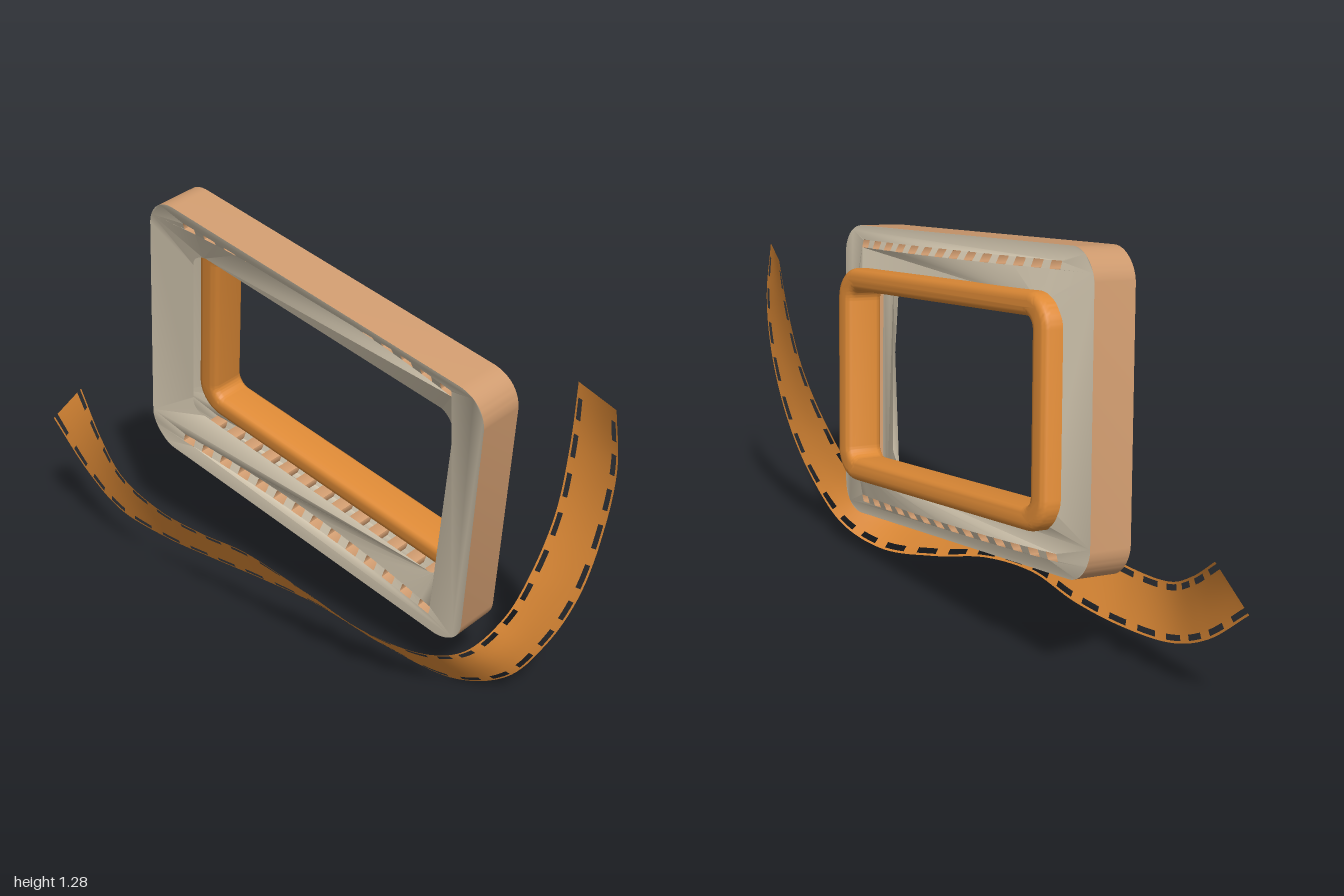
import * as THREE from 'three';
import { mergeGeometries, toCreasedNormals } from 'three/addons/utils/BufferGeometryUtils.js';

const HALF_W = 0.665, HALF_H = 0.462;

const material = (name, color) =>
  new THREE.MeshStandardMaterial({ name, color, side: THREE.DoubleSide });

// Rounded rectangle from half sizes, centred on (cx, cy)
function roundedRect(Type, w, h, r, cx = 0, cy = 0) {
  const s = new Type();
  s.absarc(cx + w - r, cy + h - r, r, 0, Math.PI / 2);
  s.absarc(cx - w + r, cy + h - r, r, Math.PI / 2, Math.PI);
  s.absarc(cx - w + r, cy - h + r, r, Math.PI, Math.PI * 1.5);
  s.absarc(cx + w - r, cy - h + r, r, Math.PI * 1.5, Math.PI * 2);
  s.closePath();
  return s;
}

// Push points backwards, most in the middle and not at all along the rim
function bow(geometry) {
  const p = geometry.attributes.position;
  for (let i = 0; i < p.count; i++) {
    const u = p.getX(i) / HALF_W, v = p.getY(i) / HALF_H;
    p.setZ(i, p.getZ(i) - 0.18 * (1 - u * u) * (1 - v * v));
  }
  return geometry;
}

// Open wall following a closed outline, from z = -d to z = d
function wall(outline, d, divisions) {
  const pts = outline.getPoints(divisions), pos = [];
  pts.forEach((a, i) => {
    const b = pts[(i + 1) % pts.length];
    if (a.distanceTo(b) < 1e-5) return;
    pos.push(a.x, a.y, -d, b.x, b.y, -d, b.x, b.y, d, a.x, a.y, -d, b.x, b.y, d, a.x, a.y, d);
  });
  const g = new THREE.BufferGeometry();
  g.setAttribute('position', new THREE.Float32BufferAttribute(pos, 3));
  return bow(toCreasedNormals(g, 0.6));
}

// Twisting strip between two edge curves, with a row of slots along each edge
function filmGeometry(lowerPts, upperPts, slots) {
  const curve = (p) => new THREE.CatmullRomCurve3(p.map((q) => new THREE.Vector3(...q)));
  const lower = curve(lowerPts), upper = curve(upperPts);
  const rows = [0, 0.04, 0.14, 0.33, 0.5, 0.67, 0.86, 0.96, 1];
  const steps = slots * 5, pos = [], index = [];
  for (let i = 0; i <= steps; i++) {
    const a = lower.getPoint(i / steps), b = upper.getPoint(i / steps);
    for (const v of rows) pos.push(...a.clone().lerp(b, v).toArray());
  }
  const n = rows.length;
  for (let i = 0; i < steps; i++) {
    for (let j = 0; j < n - 1; j++) {
      const slot = (j === 1 || j === n - 3) && i % 5 < 3;
      if (slot) continue;
      const p = i * n + j, q = p + n;
      index.push(p, q, q + 1, p, q + 1, p + 1);
    }
  }
  const g = new THREE.BufferGeometry();
  g.setAttribute('position', new THREE.Float32BufferAttribute(pos, 3));
  g.setIndex(index);
  g.computeVertexNormals();
  return g;
}

export function createModel() {
  const orange = material('orange', 0xde8a36);
  const tan = material('tan', 0xce9a6e);
  const beige = material('beige', 0xd1c5ae);
  const model = new THREE.Group();
  const add = (parent, name, geometry, mat) => {
    const m = new THREE.Mesh(geometry, mat);
    m.name = name;
    parent.add(m);
    return m;
  };

  // Leaning hollow frame
  const frame = new THREE.Group();
  frame.name = 'frame';
  const R = new THREE.Vector3(0.919, -0.18, 0.354).normalize();
  const N = R.clone().cross(new THREE.Vector3(0.132, 0.971, 0.194)).normalize();
  const U = N.clone().cross(R);
  frame.quaternion.setFromRotationMatrix(new THREE.Matrix4().makeBasis(R, U, N));
  frame.position.set(0.055, 0.722, 0.004);
  model.add(frame);

  const depth = 0.07;
  const outline = roundedRect(THREE.Shape, HALF_W, HALF_H, 0.1);
  add(frame, 'frameRim', wall(outline, depth, 10), tan);

  // Small slots in rows along the top and bottom
  const slots = [];
  for (const y of [-0.407, 0.407])
    for (let i = 0; i < 14; i++)
      slots.push(roundedRect(THREE.Path, 0.022, 0.012, 0.003, (i - 6.5) * 0.0785, y));
  add(frame, 'slotWalls', mergeGeometries(slots.map((s) => wall(s, depth, 1))), tan);

  // Bowed front and back plates with the window and slots cut out
  outline.holes = [roundedRect(THREE.Path, 0.525, 0.303, 0.05), ...slots];
  const plate = bow(new THREE.ShapeGeometry(outline, 10));
  plate.computeVertexNormals();
  for (const [name, z] of [['frontPlate', depth], ['backPlate', -depth]])
    add(frame, name, plate, beige).position.z = z;

  // Rounded window ring standing out at the back
  const bevel = 0.025, ringFront = -0.035, ringBack = -0.16;
  const ringShape = roundedRect(THREE.Shape, 0.57 - bevel, 0.335 - bevel, 0.075);
  ringShape.holes = [roundedRect(THREE.Path, 0.492 + bevel, 0.265 + bevel, 0.06)];
  const ring = new THREE.ExtrudeGeometry(ringShape, {
    depth: ringFront - ringBack - 2 * bevel,
    bevelSize: bevel, bevelThickness: bevel, bevelSegments: 5, curveSegments: 10,
  });
  add(frame, 'windowRing', toCreasedNormals(ring, 0.7), orange).position.z = ringBack + bevel;

  // Film strip sweeping below and up the side
  const lower = [
    [-1, 0.37, -0.24], [-0.85, 0.23, -0.185], [-0.7, 0.15, -0.125], [-0.5, 0.12, -0.065],
    [-0.3, 0.12, -0.005], [-0.1, 0.135, 0.07], [0.1, 0.115, 0.11], [0.32, 0.05, 0.14],
    [0.56, 0.006, 0.165], [0.72, 0.055, 0.165], [0.83, 0.19, 0.155], [0.915, 0.37, 0.145],
    [0.97, 0.6, 0.137], [0.995, 0.8, 0.15], [0.985, 0.98, 0.17],
  ];
  const upper = [
    [-0.89, 0.5, -0.24], [-0.77, 0.385, -0.145], [-0.66, 0.31, -0.07], [-0.48, 0.27, 0.02],
    [-0.3, 0.268, 0.095], [-0.12, 0.28, 0.165], [0.1, 0.245, 0.24], [0.33, 0.18, 0.29],
    [0.52, 0.155, 0.29], [0.62, 0.175, 0.26], [0.71, 0.27, 0.195], [0.77, 0.41, 0.155],
    [0.82, 0.6, 0.11], [0.838, 0.8, 0.07], [0.842, 0.98, 0.04],
  ];
  add(model, 'filmStrip', filmGeometry(lower, upper, 24), orange);

  return model;
}
